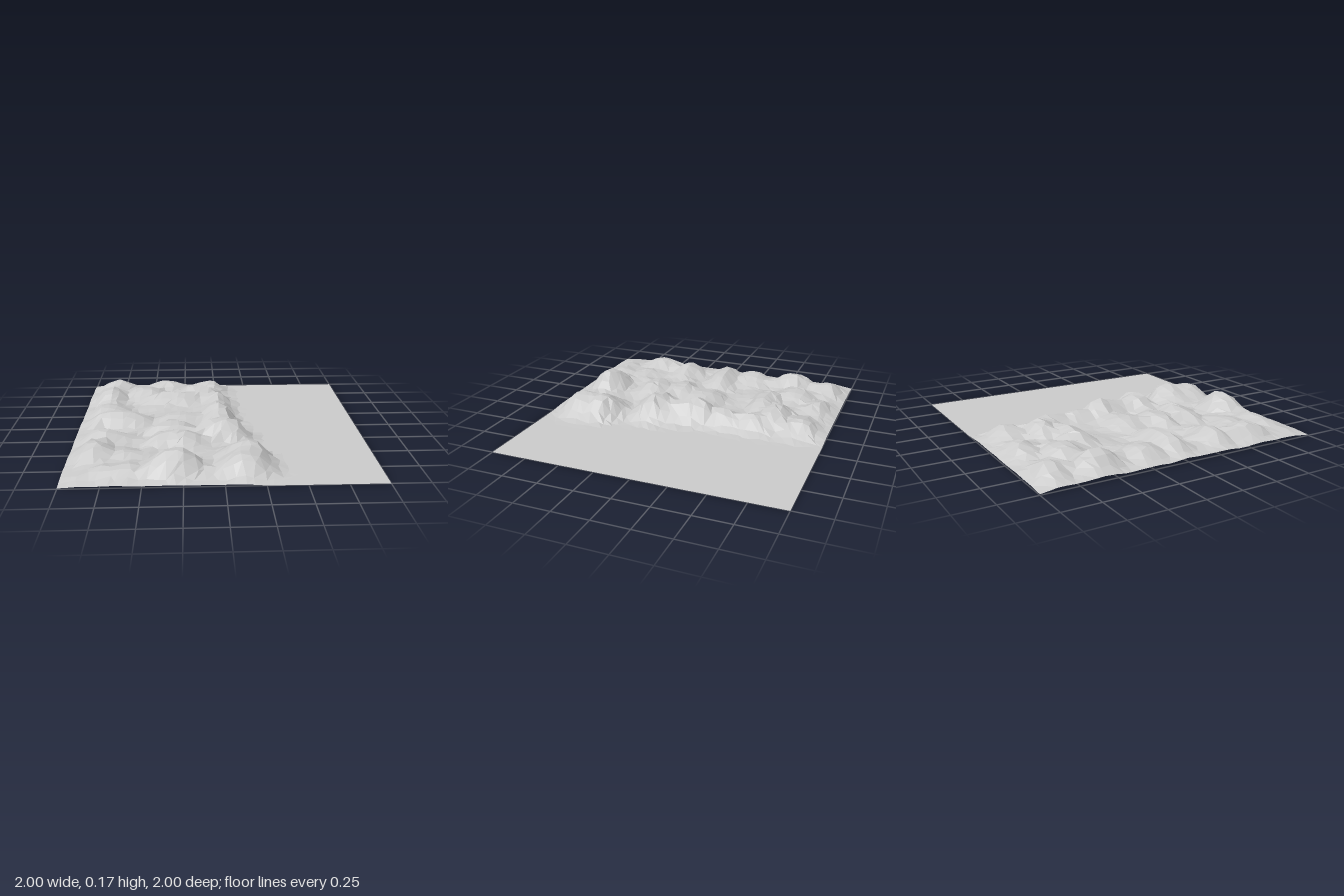
import * as THREE from 'three';

// Hills: x, z, height, radius along x, radius along z
const HILLS = [
  [-0.31, 0.8, 0.165, 0.2, 0.15], [0.17, 0.62, 0.145, 0.19, 0.17], [0.13, 0.8, 0.125, 0.21, 0.17],
  [-0.64, 0.84, 0.085, 0.2, 0.15], [-0.85, 0.58, 0.125, 0.17, 0.17], [-0.78, 0.32, 0.11, 0.26, 0.12],
  [-0.6, 0.62, 0.08, 0.18, 0.16], [-0.3, 0.4, 0.125, 0.25, 0.15], [0.03, 0.25, 0.165, 0.23, 0.14],
  [-0.34, 0.2, 0.115, 0.2, 0.14], [-0.72, -0.02, 0.13, 0.28, 0.13], [0.03, 0.08, 0.13, 0.18, 0.14],
  [0.02, -0.06, 0.18, 0.15, 0.14], [-0.27, -0.02, 0.11, 0.22, 0.17], [-0.82, -0.22, 0.105, 0.2, 0.17],
  [0.05, -0.27, 0.115, 0.16, 0.15], [-0.36, -0.47, 0.115, 0.28, 0.12], [0.03, -0.48, 0.11, 0.15, 0.14],
  [-0.85, -0.57, 0.14, 0.15, 0.18], [-0.14, -0.6, 0.135, 0.2, 0.13], [-0.56, -0.66, 0.11, 0.18, 0.16],
  [-0.06, -0.8, 0.1, 0.2, 0.14], [-0.4, -0.85, 0.1, 0.2, 0.13], [-0.8, -0.85, 0.1, 0.19, 0.14],
];

// Foot of the hills where they meet the plain: z, x
const FOOT = [
  [-1, 0.14], [-0.75, 0.18], [-0.4, 0.19], [0, 0.21], [0.2, 0.29], [0.36, 0.29],
  [0.46, 0.28], [0.6, 0.4], [0.76, 0.43], [0.9, 0.39], [1, 0.28],
];

const { smoothstep, lerp } = THREE.MathUtils;

function hash(i, j) {
  const s = Math.sin(i * 127.1 + j * 311.7) * 43758.5453;
  return s - Math.floor(s);
}

function noise(x, z) {
  const i = Math.floor(x), j = Math.floor(z);
  const u = smoothstep(x - i, 0, 1), v = smoothstep(z - j, 0, 1);
  return lerp(lerp(hash(i, j), hash(i + 1, j), u), lerp(hash(i, j + 1), hash(i + 1, j + 1), u), v);
}

function footX(z) {
  const k = Math.max(1, FOOT.findIndex((p) => p[0] >= z));
  const [z0, x0] = FOOT[k - 1], [z1, x1] = FOOT[k];
  return lerp(x0, x1, (z - z0) / (z1 - z0));
}

function heightAt(x, z) {
  // Smooth maximum of round-topped hills over a low base
  let sum = Math.pow(0.04, 6);
  for (const [hx, hz, h, rx, rz] of HILLS) {
    const d = ((x - hx) / rx) ** 2 + ((z - hz) / rz) ** 2;
    sum += Math.pow(h * Math.exp(-Math.pow(d, 1.2)), 6);
  }
  const rough = 0.026 * (noise(x * 9, z * 9) - 0.5);
  const h = Math.pow(sum, 1 / 6) + rough;
  // Fall away to the plain and to the three outer edges
  const plain = smoothstep(footX(z) - x, 0, 0.2);
  const sides = lerp(0.3, 1, smoothstep(1 - Math.abs(z), 0, 0.13));
  const back = lerp(0.5, 1, smoothstep(x + 1, 0, 0.14));
  return Math.max(0, h * plain * sides * back);
}

export function createModel() {
  const N = 34;
  const ground = new THREE.PlaneGeometry(2, 2, N, N).rotateX(-Math.PI / 2);
  const pos = ground.attributes.position;
  for (let k = 0; k < pos.count; k++) {
    const i = k % (N + 1), j = Math.floor(k / (N + 1));
    // Shift inner points for irregular facets, keeping the border straight
    const inX = i > 0 && i < N, inZ = j > 0 && j < N;
    const x = pos.getX(k) + (inX ? (hash(i, j + 70) - 0.5) * 0.04 : 0);
    const z = pos.getZ(k) + (inZ ? (hash(i + 70, j) - 0.5) * 0.04 : 0);
    pos.setXYZ(k, x, heightAt(x, z), z);
  }
  ground.computeVertexNormals();

  const material = new THREE.MeshStandardMaterial({
    color: 0xcccccc, flatShading: true, side: THREE.DoubleSide,
  });
  const terrain = new THREE.Mesh(ground, material);
  terrain.name = 'terrain';

  const model = new THREE.Group();
  model.name = 'hillyLandscape';
  model.add(terrain);
  return model;
}
